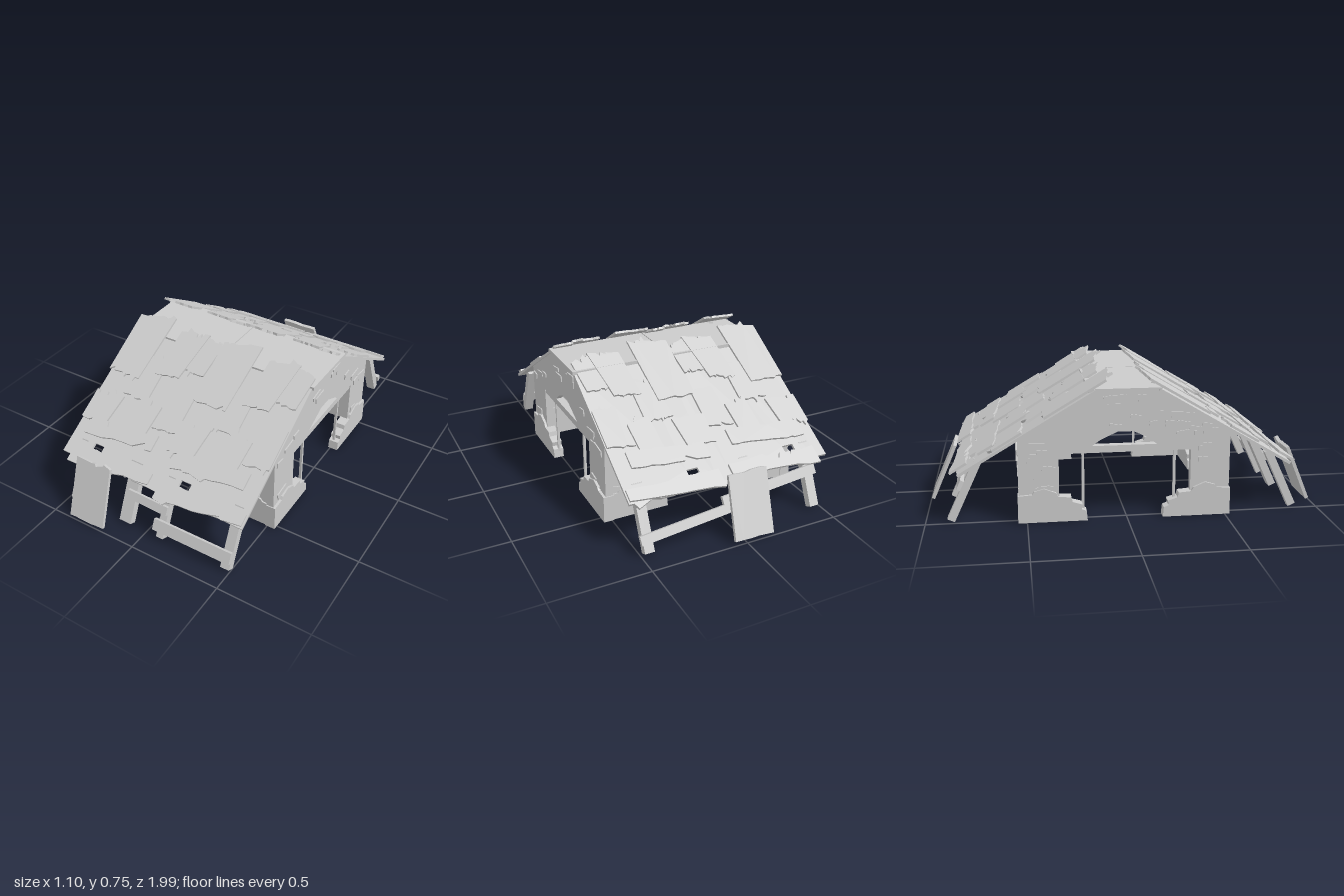
import * as THREE from 'three';

const mat = new THREE.MeshStandardMaterial({ color: 0xcccccc, flatShading: true, side: THREE.DoubleSide });
let seed = 7;
const rnd = () => (seed = (seed * 16807) % 2147483647) / 2147483647;

function add(parent, name, geo, x = 0, y = 0, z = 0) {
  const m = new THREE.Mesh(geo, mat);
  m.name = name;
  m.position.set(x, y, z);
  parent.add(m);
  return m;
}
const box = (parent, name, w, h, d, x, y, z) => add(parent, name, new THREE.BoxGeometry(w, h, d), x, y, z);
const toShape = pts => new THREE.Shape(pts.map(p => new THREE.Vector2(p[0], p[1])));
const slab = (shape, depth) => new THREE.ExtrudeGeometry(shape, { depth, bevelEnabled: false });

// Bar between two points of the xy plane
function bar(parent, name, a, b, w, d, z) {
  const m = box(parent, name, Math.hypot(b[0] - a[0], b[1] - a[1]), w, d, (a[0] + b[0]) / 2, (a[1] + b[1]) / 2, z);
  m.rotation.z = Math.atan2(b[1] - a[1], b[0] - a[0]);
  return m;
}

// Splintered edge from a to b: small steps with an occasional deep notch
function splinter(a, b, n = 7) {
  const out = [a];
  for (let i = 1; i < n; i++) {
    const t = (i + (rnd() - 0.5) * 0.6) / n, j = rnd() < 0.25 ? 0.035 : 0.008;
    const y = a[1] + (b[1] - a[1]) * t, x = a[0] + (b[0] - a[0]) * t;
    out.push([x, y + (rnd() - 0.5) * j]);
    if (j > 0.01) out.push([x + (b[0] - a[0]) * 0.03, y]);
  }
  return [...out, b];
}

// Boards of one roof module: bottom left, bottom right, top right, top left (x, height), lift
const boards = [
  [[-0.55, 0.52], [-0.36, 0.52], [-0.34, 0.72], [-0.55, 0.70], 0.014],
  [[-0.29, 0.55], [-0.15, 0.56], [-0.105, 0.705], [-0.27, 0.69], 0.012],
  [[-0.14, 0.59], [-0.03, 0.59], [-0.01, 0.685], [-0.11, 0.70], 0.006],
  [[-0.40, 0.47], [-0.25, 0.47], [-0.25, 0.60], [-0.37, 0.59], 0.006],
  [[-0.55, 0.37], [-0.40, 0.37], [-0.38, 0.46], [-0.55, 0.455], 0.010],
  [[-0.28, 0.38], [-0.16, 0.38], [-0.15, 0.47], [-0.27, 0.485], 0.010],
  [[-0.15, 0.41], [-0.01, 0.42], [-0.01, 0.53], [-0.13, 0.53], 0.006],
  [[-0.48, 0.325], [-0.08, 0.345], [-0.08, 0.39], [-0.48, 0.37], 0.016],
  [[-0.49, 0.245], [-0.01, 0.27], [-0.01, 0.30], [-0.49, 0.295], 0.010],
];
const SLOPE = Math.atan2(0.42, 0.71);
const up = y => (y - 0.25) / Math.sin(SLOPE);

function roofSlope(s) {
  const g = new THREE.Group();
  g.name = 'roofSlope';
  g.position.set(0, 0.25, 0.86);
  g.rotation.x = SLOPE - Math.PI / 2;
  for (const dx of [0, 0.54]) {
    const put = ([x, y]) => [(x + dx) * s, up(y)];
    // Sheet of planks with a small gap near the eave
    const sheet = toShape([...splinter([-0.55, 0.265], [-0.005, 0.265], 10),
      ...splinter([-0.005, 0.665], [-0.55, 0.665], 10)].map(put));
    sheet.holes.push(toShape([[-0.40, 0.298], [-0.34, 0.298], [-0.34, 0.316], [-0.40, 0.316]].map(put)));
    add(g, 'roofPlanking', slab(sheet, 0.014), 0, 0, -0.014);
    for (const [a, b, c, d, lift] of boards) {
      const pts = [...splinter(a, b), ...splinter(c, d)].map(put);
      // The two low boards stay clear of the gap
      if (a[1] === 0.325) pts.forEach(p => { p[1] += 0.01; });
      add(g, 'roofBoard', slab(toShape(pts), 0.012), 0, 0, lift - 0.006);
    }
  }
  return g;
}

// Leaning posts, rails and loose panel under one eave
function eaveProps(s, posts, rails, panelX, reach) {
  const g = new THREE.Group();
  g.name = 'eaveProps';
  const lean = new THREE.Group();
  lean.name = 'leaningFence';
  lean.position.set(0, 0.009, reach - 0.125);
  lean.rotation.x = -0.436;
  for (const [x, w] of posts) box(lean, 'leaningPost', w, 0.33, 0.04, x * s, 0.165, 0);
  for (const [a, b, w] of rails)
    bar(lean, 'fenceRail', [a[0] * s, a[1] / 0.906], [b[0] * s, b[1] / 0.906], w, 0.02, 0.03);
  const panel = new THREE.Group();
  panel.name = 'leaningPanel';
  panel.position.set(panelX * s, 0.002, reach - 0.018);
  panel.rotation.x = -0.41;
  const pts = [...splinter([-0.095, 0.004], [0.115, 0.01], 5), ...splinter([0.095, 0.325], [-0.115, 0.325], 5)];
  add(panel, 'panelBoard', slab(toShape(pts.map(p => [p[0] * s, p[1]])), 0.018));
  g.add(lean, panel);
  return g;
}

// Stepped heap of broken masonry, tallest at the corner (u = 0)
const rubble = () => toShape([[0, 0], [0.345, 0], [0.34, 0.05], [0.315, 0.06], [0.32, 0.085], [0.27, 0.10],
  [0.265, 0.125], [0.20, 0.13], [0.19, 0.15], [0.13, 0.175], [0.08, 0.16], [0.07, 0.145], [0, 0.14]]);

// Brick slivers standing proud of a wall drawn in its own xy plane
function bricks(parent, count, inside, zs, u0, u1, v0, v1) {
  for (let i = 0; i < count; i++) {
    const u = u0 + rnd() * (u1 - u0), v = v0 + rnd() * (v1 - v0), w = 0.04 + rnd() * 0.05;
    if (!inside(u - w / 2, v) || !inside(u + w / 2, v)) continue;
    const m = box(parent, 'brick', w, 0.02 + rnd() * 0.015, 0.01, u, v, zs[i % zs.length]);
    m.rotation.z = (rnd() - 0.5) * 0.35;
  }
}

// Gable end, drawn with u along the building's depth (u = -z on the left side)
function gable(side, postZ) {
  const g = new THREE.Group();
  g.name = 'gableEnd';
  g.rotation.y = side * Math.PI / 2;
  const f = -side;
  const pts = [[0.52, 0], [0.52, 0.44], [0.17, 0.65], [-0.17, 0.65], [-0.54, 0.435], [-0.54, 0], [-0.34, 0],
    [-0.34, 0.365], [-0.20, 0.38], [-0.05, 0.45], [0.03, 0.45], [0.18, 0.38], [0.32, 0.365], [0.32, 0]];
  add(g, 'gableWall', slab(toShape(pts.map(([z, y]) => [z * f, y])), 0.04), 0, 0, 0.49);
  // Lintel, braces and thin door posts
  box(g, 'lintel', 0.67, 0.035, 0.04, -0.01 * f, 0.362, 0.505);
  bar(g, 'brace', [0.17 * f, 0.375], [0.06 * f, 0.46], 0.02, 0.03, 0.51);
  bar(g, 'brace', [-0.20 * f, 0.375], [-0.08 * f, 0.46], 0.02, 0.03, 0.51);
  for (const z of postZ) box(g, 'doorPost', 0.013, 0.35, 0.013, z * f, 0.175, 0.51);
  // Rubble at both corners
  for (const [z, dir] of [[0.525, -1], [-0.545, 1]]) {
    const m = add(g, 'gableRubble', slab(rubble(), 0.055), z * f, 0, 0.488);
    if (dir * f < 0) { m.rotation.y = Math.PI; m.position.z = 0.543; }
  }
  const inside = (u, v) => Math.abs(u) < 0.51 && v < 0.72 - Math.abs(u) * 0.59 && v < 0.63 &&
    (Math.abs(u) > 0.35 || v > 0.47 || (v > 0.40 && Math.abs(u) > 0.22));
  bricks(g, 170, inside, [0.531, 0.489], -0.52, 0.52, 0.03, 0.63);
  return g;
}

// Long wall: two corner pieces with rubble and a band under the roof
function longWall(z) {
  const g = new THREE.Group();
  g.name = 'longWall';
  g.position.z = z;
  box(g, 'wallBand', 1.04, 0.11, 0.035, 0, 0.375, 0);
  for (const s of [1, -1]) {
    box(g, 'cornerWall', 0.19, 0.42, 0.035, s * 0.43, 0.21, 0);
    const m = add(g, 'wallRubble', slab(rubble(), 0.05), s * 0.535, 0, s > 0 ? 0.025 : -0.025);
    if (s > 0) m.rotation.y = Math.PI;
  }
  const inside = (u, v) => Math.abs(u) < 0.51 && (v > 0.34 || Math.abs(u) > 0.34);
  bricks(g, 90, inside, [0.018, -0.018], -0.52, 0.52, 0.03, 0.41);
  return g;
}

export function createModel() {
  seed = 7;
  const model = new THREE.Group();
  model.name = 'ruinedBarn';

  // Walls
  model.add(gable(1, [0.19, -0.22]), gable(-1, [0.24, -0.22]), longWall(0.495), longWall(-0.515));

  // Flat ridge deck
  for (const x of [-0.27, 0.275]) box(model, 'ridgeDeck', 0.54, 0.018, 0.36, x, 0.659, -0.01);

  // Front side
  model.add(roofSlope(1));
  model.add(eaveProps(1, [[0.475, 0.05], [0.09, 0.04], [-0.125, 0.07], [-0.46, 0.04]],
    [[[0.05, 0.06], [0.5, 0.06], 0.06], [[-0.135, 0.145], [0.11, 0.14], 0.045]], -0.305, 1));

  // Back side, turned around with x kept in place
  const back = new THREE.Group();
  back.name = 'backSide';
  back.rotation.y = Math.PI;
  back.add(roofSlope(-1));
  back.add(eaveProps(-1, [[0.46, 0.05], [-0.46, 0.05], [-0.11, 0.05]],
    [[[0.5, 0.06], [-0.02, 0.10], 0.045], [[0.05, 0.13], [-0.49, 0.17], 0.05]], -0.055, 1));
  model.add(back);
  return model;
}
